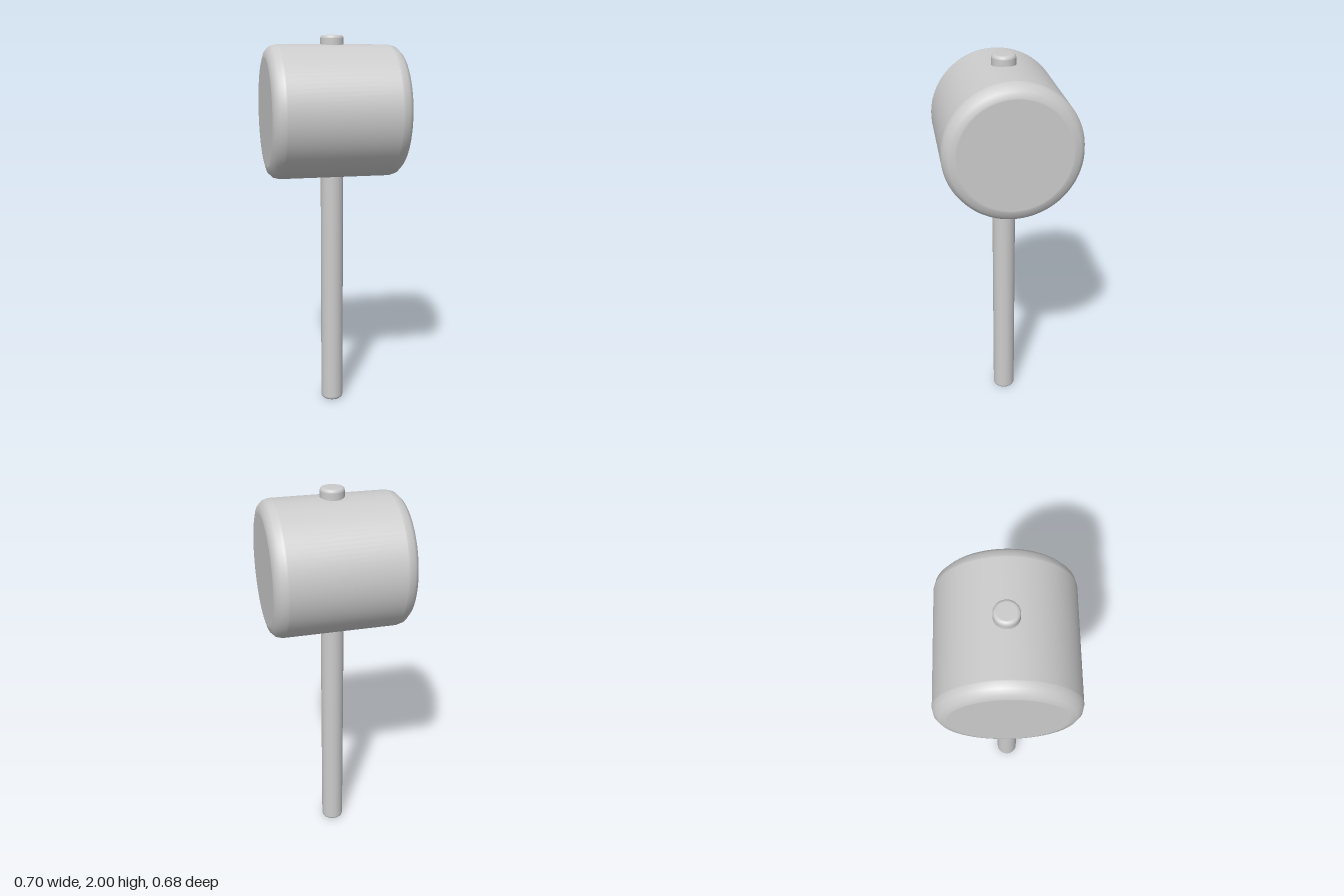
import * as THREE from 'three';

const material = new THREE.MeshStandardMaterial({ color: 0xcccccc });

// Solid round bar along y, centred on the origin, with rounded rims
function roundedBar(name, radius, length, bevel, steps, sides) {
  const half = length / 2;
  const rim = [];
  for (let i = 0; i <= steps; i++) {
    const a = (i / steps) * Math.PI / 2;
    rim.push(new THREE.Vector2(
      radius - bevel + bevel * Math.sin(a),
      half - bevel + bevel * Math.cos(a)
    ));
  }
  // Extra loops beside the rim keep the caps and the wall flat in shading
  const guard = bevel * 0.1;
  const top = [
    new THREE.Vector2(0, half),
    new THREE.Vector2(radius - bevel - guard, half),
    ...rim,
    new THREE.Vector2(radius, half - bevel - guard),
  ];
  const bottom = top.map((p) => new THREE.Vector2(p.x, -p.y));
  const profile = [...bottom, ...top.reverse()];
  const mesh = new THREE.Mesh(new THREE.LatheGeometry(profile, sides), material);
  mesh.name = name;
  return mesh;
}

export function createModel() {
  const group = new THREE.Group();
  group.name = 'mallet';

  // Handle runs right through the head and shows above it
  const handle = roundedBar('handle', 0.06, 2, 0.015, 3, 48);
  handle.position.y = 1;

  // Barrel-shaped head lying along x
  const head = roundedBar('head', 0.341, 0.70, 0.06, 3, 96);
  head.rotation.z = Math.PI / 2;
  head.position.y = 1.613;

  group.add(handle, head);
  return group;
}
